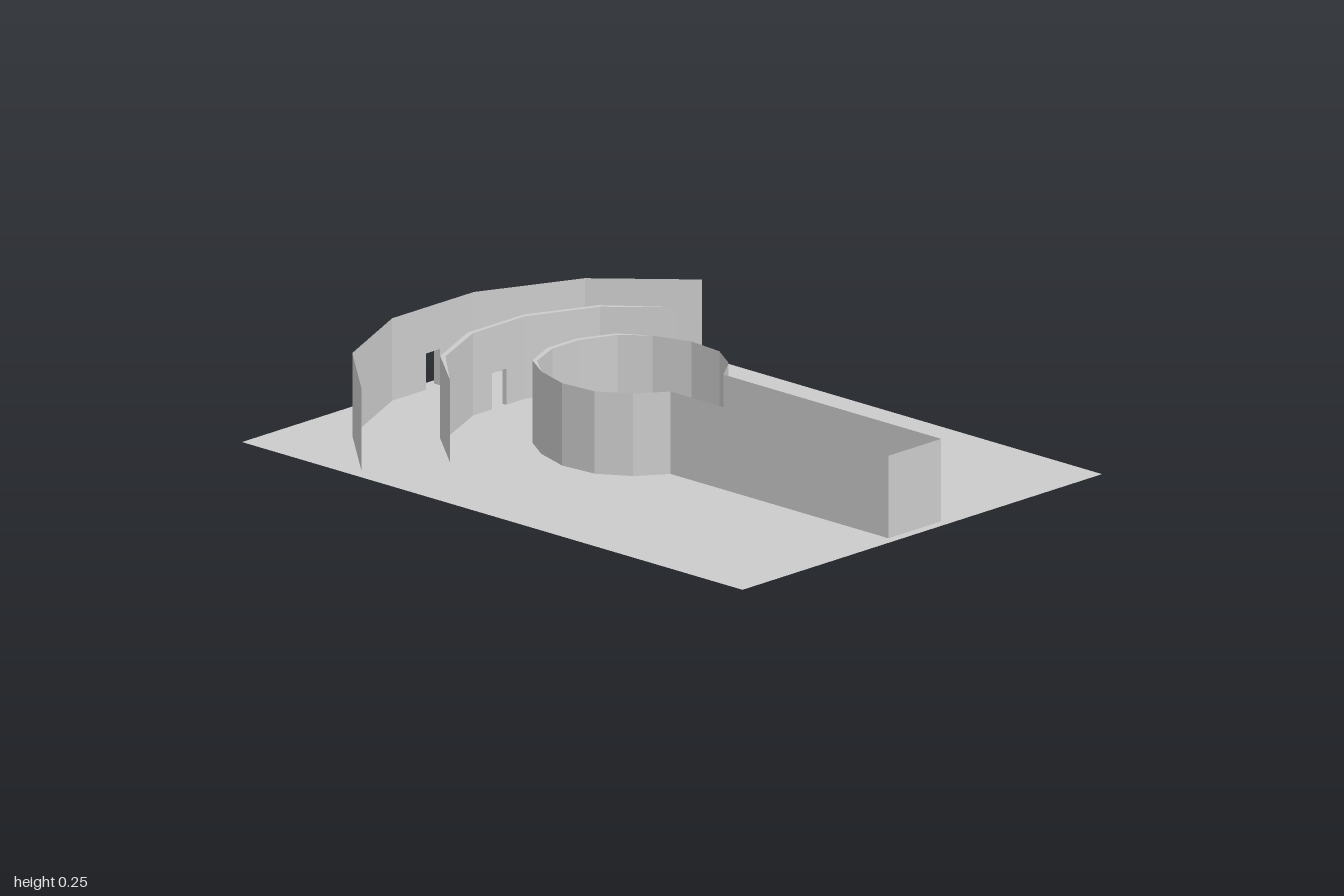
import * as THREE from 'three';
import { mergeGeometries } from 'three/addons/utils/BufferGeometryUtils.js';

const H = 0.25;      // wall height
const DOOR_W = 0.03; // half door width
const DOOR_H = 0.11;

const material = new THREE.MeshStandardMaterial({
  color: 0xcccccc, flatShading: true, side: THREE.DoubleSide,
});

function add(group, name, geometry) {
  const mesh = new THREE.Mesh(geometry, material);
  mesh.name = name;
  group.add(mesh);
  return mesh;
}

// Mirror a half path (from the +x end towards the middle) into a full path.
const mirrored = (half) => [...half, ...half.slice().reverse().map(([x, z]) => [-x, z])];

// One flat upright panel between two plan points, optionally with a doorway notch.
function panel([ax, az], [bx, bz], door) {
  const length = Math.hypot(bx - ax, bz - az);
  const m = length / 2;
  const outline = door
    ? [[0, 0], [m - DOOR_W, 0], [m - DOOR_W, DOOR_H], [m + DOOR_W, DOOR_H], [m + DOOR_W, 0],
      [length, 0], [length, H], [0, H]]
    : [[0, 0], [length, 0], [length, H], [0, H]];
  const geometry = new THREE.ShapeGeometry(new THREE.Shape(outline.map((p) => new THREE.Vector2(...p))));
  return geometry.rotateY(-Math.atan2(bz - az, bx - ax)).translate(ax, 0, az);
}

// Thin wall along a plan path; the middle panel may hold the doorway.
function wall(path, door = false) {
  const panels = [];
  for (let i = 0; i < path.length - 1; i++) {
    panels.push(panel(path[i], path[i + 1], door && i === path.length / 2 - 1));
  }
  return mergeGeometries(panels);
}

// Crescent-shaped top between an outer and an inner arc that share their ends.
function crescentTop(outer, inner) {
  const loop = [...outer, ...inner.slice(1, -1).reverse()];
  const shape = new THREE.Shape(loop.map(([x, z]) => new THREE.Vector2(x, -z)));
  return new THREE.ShapeGeometry(shape).rotateX(-Math.PI / 2).translate(0, H, 0);
}

// Jambs and lintel lining a doorway from z0 to z1.
function doorLining(z0, z1) {
  const depth = Math.abs(z1 - z0);
  const z = (z0 + z1) / 2;
  const jamb = (x) => new THREE.PlaneGeometry(depth, DOOR_H).rotateY(Math.PI / 2).translate(x, DOOR_H / 2, z);
  const lintel = new THREE.PlaneGeometry(DOOR_W * 2, depth).rotateX(-Math.PI / 2).translate(0, DOOR_H, z);
  return mergeGeometries([jamb(-DOOR_W), jamb(DOOR_W), lintel]);
}

export function createModel() {
  const model = new THREE.Group();
  model.name = 'walledChamber';

  // Ground sheet
  add(model, 'groundSheet', new THREE.PlaneGeometry(1.5, 2).rotateX(-Math.PI / 2));

  // Long passage, closed at the front and open into the round chamber
  add(model, 'passageWalls', wall(mirrored([[0.11, 0.1], [0.11, 0.97]])));

  // Round chamber, with a second skin around the back
  const chamberBack = [[0.232, -0.3], [0.175, -0.39], [0.06, -0.44]];
  const chamber = [[0.11, 0.1], [0.2, 0.035], [0.26, -0.06], [0.27, -0.18], ...chamberBack];
  const chamberLining = mirrored([[0.232, -0.3], [0.168, -0.378], [0.055, -0.425]]);
  add(model, 'chamberWall', wall(mirrored(chamber), true));
  add(model, 'chamberLining', wall(chamberLining, true));
  add(model, 'chamberWallTop', crescentTop(mirrored(chamberBack), chamberLining));
  add(model, 'chamberDoorLining', doorLining(-0.425, -0.44));

  // Middle screen wall with two skins
  const middle = mirrored([[0.472, -0.435], [0.33, -0.61], [0.118, -0.705]]);
  const middleLining = mirrored([[0.472, -0.435], [0.322, -0.597], [0.11, -0.69]]);
  add(model, 'middleWall', wall(middle, true));
  add(model, 'middleLining', wall(middleLining, true));
  add(model, 'middleWallTop', crescentTop(middle, middleLining));
  add(model, 'middleDoorLining', doorLining(-0.69, -0.705));

  // Outer screen wall with a projecting door frame
  add(model, 'outerWall', wall(mirrored([[0.71, -0.56], [0.485, -0.813], [0.17, -0.955]]), true));
  add(model, 'outerDoorFrame', doorLining(-0.955, -0.98));

  return model;
}
